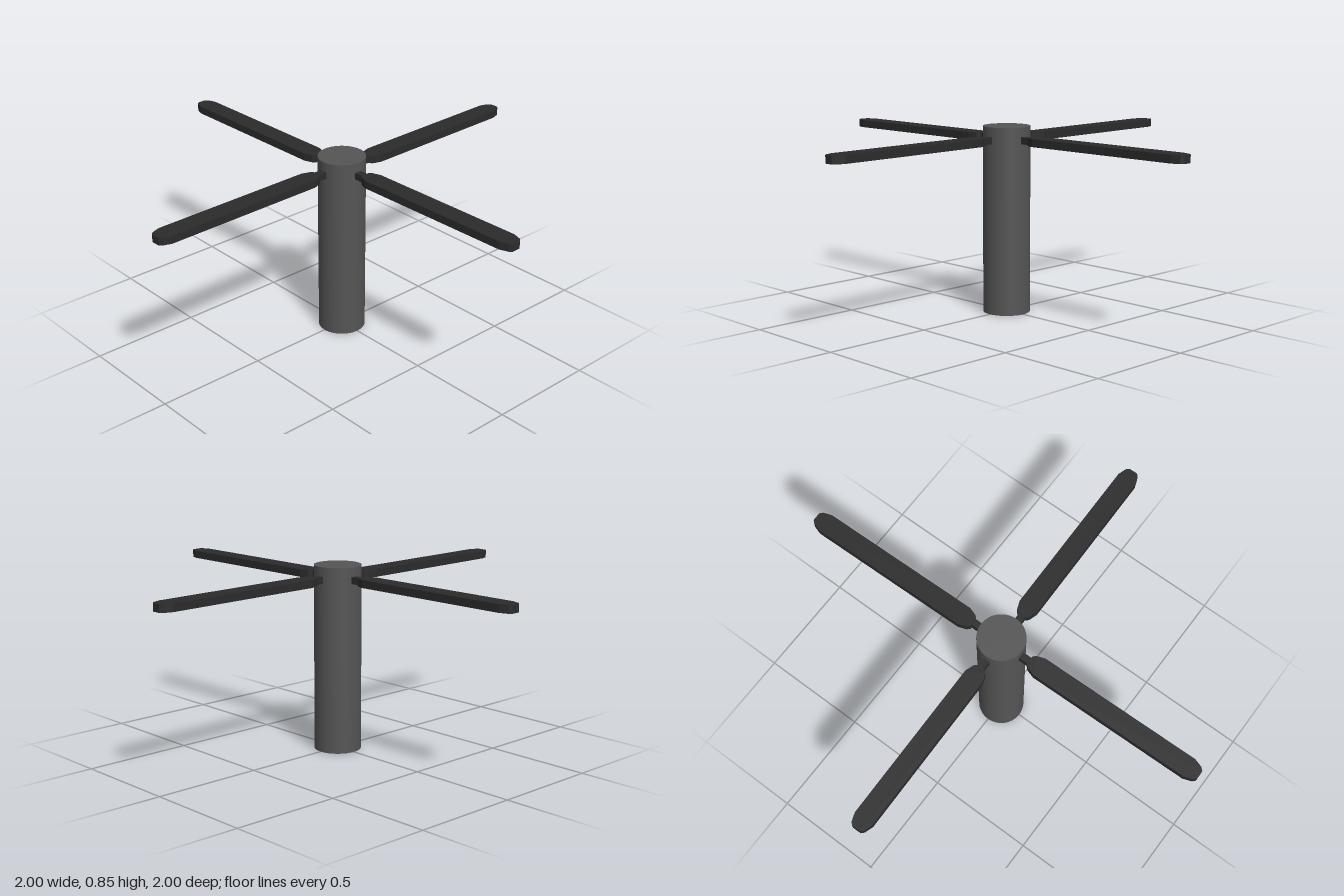
import * as THREE from 'three';

export function createModel() {
  const model = new THREE.Group();
  const postGrey = new THREE.MeshStandardMaterial({ color: 0x555555 });
  const bladeBlack = new THREE.MeshStandardMaterial({ color: 0x2b2b2b });

  // Central post
  const post = new THREE.Mesh(new THREE.CylinderGeometry(0.106, 0.106, 0.845, 48), postGrey);
  post.name = 'post';
  post.position.y = 0.4225;
  model.add(post);

  // Blade outline: long bar with faceted round ends
  const start = 0.147, end = 1, half = 0.045;
  const corner = [[0, 0.02], [0.012, 0.032], [0.05, half]]; // inset from the tip, half width
  const upper = [
    ...corner.map(([d, w]) => [start + d, w]),
    ...corner.slice().reverse().map(([d, w]) => [end - d, w]),
  ];
  const lower = upper.slice().reverse().map(([x, w]) => [x, -w]);
  const outline = new THREE.Shape([...upper, ...lower].map(([x, y]) => new THREE.Vector2(x, y)));
  const thickness = 0.035;
  const bladeGeometry = new THREE.ExtrudeGeometry(outline, { depth: thickness, bevelEnabled: false });
  bladeGeometry.rotateX(-Math.PI / 2).translate(0, -thickness / 2, 0);
  const stubGeometry = new THREE.BoxGeometry(0.12, 0.031, 0.032).translate(0.13, 0, 0);

  // Four blades, each skewed slightly on its stub
  for (let i = 0; i < 4; i++) {
    const arm = new THREE.Group();
    arm.name = 'arm' + (i + 1);
    arm.position.y = 0.787;
    arm.rotation.y = (i * Math.PI) / 2;
    const blade = new THREE.Mesh(bladeGeometry, bladeBlack);
    blade.name = 'blade';
    blade.rotation.y = 0.017;
    const stub = new THREE.Mesh(stubGeometry, bladeBlack);
    stub.name = 'bladeStub';
    arm.add(blade, stub);
    model.add(arm);
  }
  return model;
}
